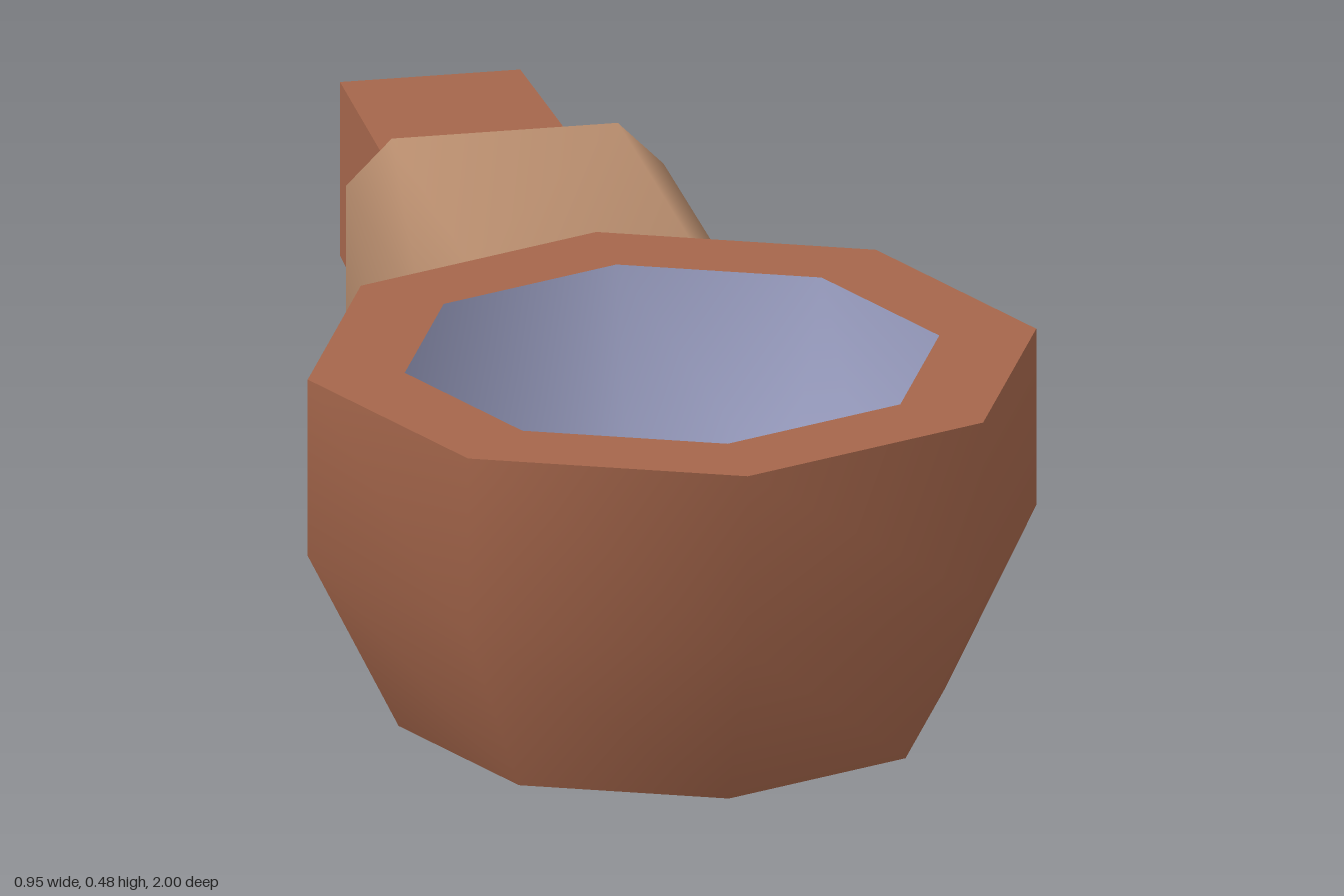
import * as THREE from 'three';
import { mergeVertices } from 'three/addons/utils/BufferGeometryUtils.js';

const clay = new THREE.MeshStandardMaterial({ color: 0xa5664b });
clay.name = 'clay';
const wrap = new THREE.MeshStandardMaterial({ color: 0xb78c6d });
wrap.name = 'tan wrap';
const glaze = new THREE.MeshStandardMaterial({ color: 0x9599bb });
glaze.name = 'blue grey lining';

// Weld all vertices and give area-weighted smooth normals
function smooth(geometry) {
  geometry.deleteAttribute('normal');
  geometry.deleteAttribute('uv');
  const welded = mergeVertices(geometry, 1e-4);
  welded.computeVertexNormals();
  return welded;
}

function add(parent, name, geometry, material) {
  const mesh = new THREE.Mesh(geometry, material);
  mesh.name = name;
  parent.add(mesh);
  return mesh;
}

// Eight-sided surface of revolution from [radius, height] points
function octagonal(profile) {
  return smooth(new THREE.LatheGeometry(profile.map(([r, y]) => new THREE.Vector2(r, y)), 8));
}

export function createModel() {
  const model = new THREE.Group();
  model.name = 'pipe';

  // Bowl
  const bowl = new THREE.Group();
  bowl.name = 'bowl';
  bowl.position.z = 0.523;
  model.add(bowl);
  add(bowl, 'bowlWall', octagonal([[0.358, 0], [0.477, 0.24], [0.477, 0.48]]), clay);
  add(bowl, 'bowlBase', octagonal([[0, 0], [0.358, 0]]), clay);
  const rim = new THREE.RingGeometry(0.35, 0.477, 8).rotateX(-Math.PI / 2);
  add(bowl, 'bowlRim', rim, clay).position.y = 0.48;
  add(bowl, 'bowlLining', octagonal([[0.35, 0.48], [0.27, 0.2], [0, 0.15]]), glaze);

  // Tapered square stem, running back from inside the bowl wall
  const stem = new THREE.CylinderGeometry(0.118 * Math.SQRT2, 0.148 * Math.SQRT2, 1.2, 4)
    .rotateY(Math.PI / 4).rotateX(-Math.PI / 2).toNonIndexed();
  stem.computeVertexNormals();
  add(model, 'stem', stem, clay).position.set(0, 0.21, -0.4);

  // Chamfered sleeve around the stem
  const half = 0.208, flat = 0.148, length = 0.48;
  const corners = [];
  for (const [sx, sy] of [[1, 1], [-1, 1], [-1, -1], [1, -1]]) {
    const pair = [new THREE.Vector2(sx * half, sy * flat), new THREE.Vector2(sx * flat, sy * half)];
    corners.push(...(sx * sy > 0 ? pair : pair.reverse()));
  }
  const sleeve = new THREE.Group();
  sleeve.name = 'sleeve';
  sleeve.position.set(0, 0.209, -0.29);
  model.add(sleeve);

  const side = new THREE.CylinderGeometry(1, 1, length, 8, 1, true).rotateX(Math.PI / 2);
  const p = side.attributes.position;
  for (let i = 0; i < p.count; i++) {
    // Columns run clockwise or anticlockwise with angle; match each to its corner
    const turn = Math.round(Math.atan2(p.getY(i), p.getX(i)) / (Math.PI / 4));
    const c = corners[(turn + 8) % 8];
    p.setXY(i, c.x, c.y);
  }
  add(sleeve, 'sleeveSide', smooth(side), wrap);
  for (const back of [0, 1]) {
    const end = new THREE.ShapeGeometry(new THREE.Shape(corners)).rotateY(back * Math.PI);
    add(sleeve, back ? 'sleeveBackEnd' : 'sleeveFrontEnd', end, wrap).position.z = (back ? -1 : 1) * length / 2;
  }
  return model;
}
